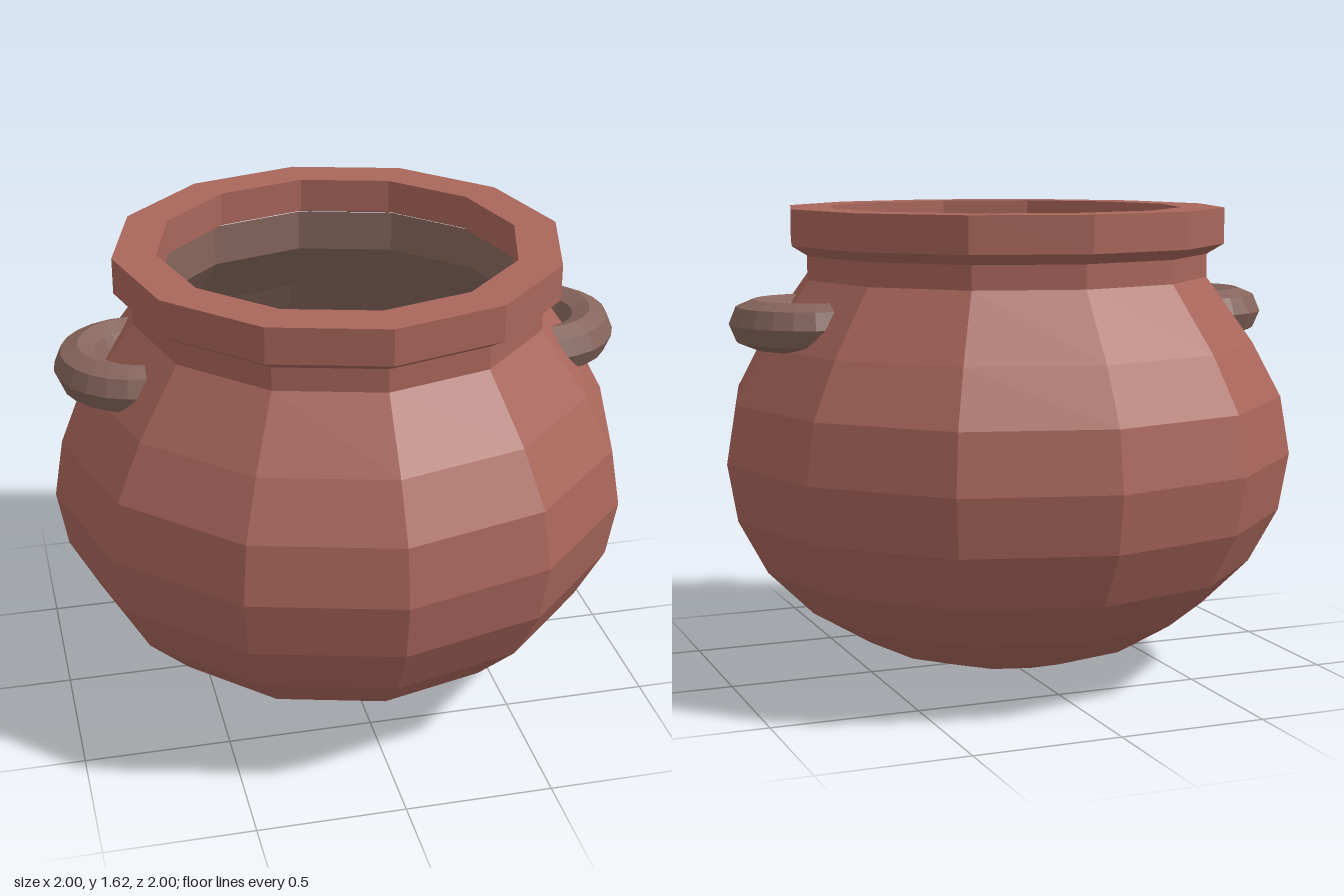
import * as THREE from 'three';

const SIDES = 12;

// Twelve-sided surface of revolution from [radius, height] pairs
function turned(name, profile, material) {
  const points = profile.map(([r, y]) => new THREE.Vector2(r, y));
  const mesh = new THREE.Mesh(new THREE.LatheGeometry(points, SIDES), material);
  mesh.name = name;
  return mesh;
}

export function createModel() {
  const clay = new THREE.MeshStandardMaterial({ color: 0xa9665b, flatShading: true });
  clay.name = 'red clay';
  const dark = new THREE.MeshStandardMaterial({ color: 0x86655c, flatShading: true });
  dark.name = 'brown clay';

  const pot = new THREE.Group();
  pot.name = 'pot';

  // Rounded belly
  const belly = [
    [0, 0], [0.26, 0.03], [0.5, 0.105], [0.707, 0.23], [0.866, 0.387],
    [0.966, 0.573], [1, 0.77], [0.966, 0.97], [0.866, 1.157], [0.705, 1.38],
  ];
  pot.add(turned('belly', belly, clay));

  // Neck and overhanging rim
  pot.add(turned('neck', [[0.705, 1.38], [0.705, 1.46]], clay));
  pot.add(turned('rim', [
    [0.705, 1.46], [0.763, 1.495], [0.763, 1.618],
    [0.615, 1.618], [0.615, 1.5], [0.665, 1.48],
  ], clay));

  // Inner wall, a slightly smaller belly facing inwards
  const inner = belly.map(([r, y]) => [r * 0.93, 0.77 + (y - 0.77) * 0.93]);
  inner.push([0.66, 1.48]);
  pot.add(turned('interior', inner.reverse(), dark));

  // Half-ring handles on both sides
  for (const side of [1, -1]) {
    const ring = new THREE.TorusGeometry(0.203, 0.083, 8, 12, Math.PI);
    ring.rotateZ(-Math.PI / 2).rotateX(Math.PI / 2);
    const handle = new THREE.Mesh(ring, dark);
    handle.name = side > 0 ? 'leftHandle' : 'rightHandle';
    handle.position.set(side * 0.69, 1.236, 0);
    if (side < 0) handle.rotation.y = Math.PI;
    pot.add(handle);
  }

  return pot;
}
